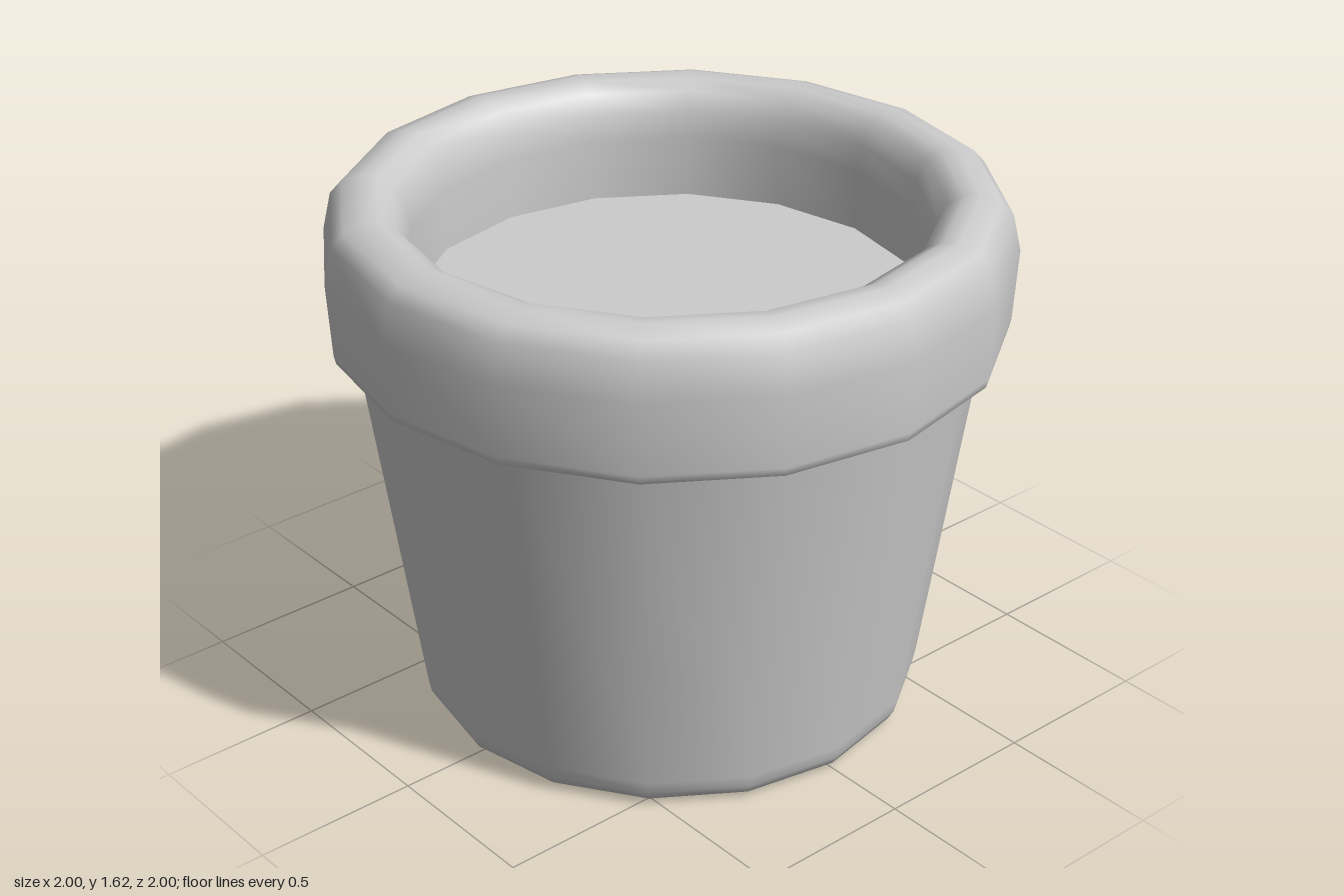
import * as THREE from 'three';

const SIDES = 16;
const material = new THREE.MeshStandardMaterial({ color: 0xcccccc });

// Revolve a [radius, height] profile; a new section starts at each hard edge
function turned(name, ...sections) {
  const group = new THREE.Group();
  group.name = name;
  sections.forEach((points, i) => {
    const profile = points.map(([r, y]) => new THREE.Vector2(r, y));
    const mesh = new THREE.Mesh(new THREE.LatheGeometry(profile, SIDES), material);
    mesh.name = `${name}Section${i + 1}`;
    group.add(mesh);
  });
  return group;
}

export function createModel() {
  const pot = new THREE.Group();
  pot.name = 'flowerPot';

  // Recessed base: closed disc, short inner wall, flat foot ring
  pot.add(turned('base',
    [[0, 0.07], [0.62, 0.07]],
    [[0.62, 0.07], [0.62, 0]],
    [[0.62, 0], [0.71, 0]]));

  // Tapered body with a rounded bottom edge
  pot.add(turned('body',
    [[0.71, 0], [0.74, 0.02], [0.757, 0.05], [0.765, 0.09], [0.92, 1.2]]));

  // Thick collar: flat underside, bulged outside, rolled lip, inner wall
  pot.add(turned('rim',
    [[0.92, 1.2], [0.97, 1.2]],
    [[0.97, 1.2], [0.982, 1.205], [0.988, 1.23], [1, 1.45], [0.975, 1.56],
      [0.94, 1.6], [0.88, 1.62], [0.835, 1.615], [0.79, 1.59], [0.76, 1.53],
      [0.747, 1.45], [0.747, 1.26]]));

  // Soil surface
  pot.add(turned('soil', [[0.747, 1.26], [0, 1.26]]));

  return pot;
}
